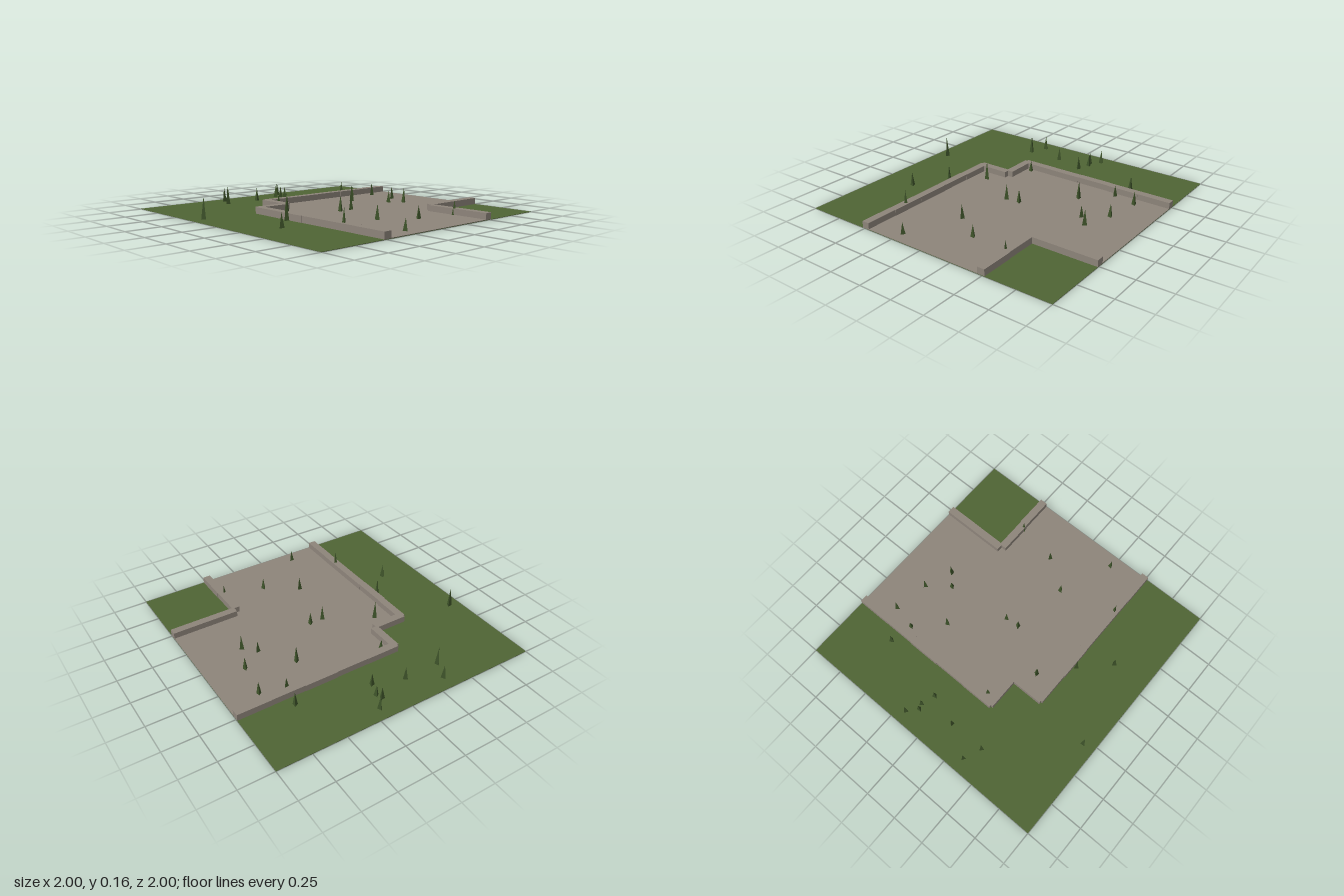
import * as THREE from 'three';

const material = (name, color) => {
  const m = new THREE.MeshStandardMaterial({ color, flatShading: true });
  m.name = name;
  return m;
};

export function createModel() {
  const model = new THREE.Group();
  model.name = 'walledClearing';
  const grass = material('grass green', 0x4f6434);
  const stone = material('stone grey', 0x8d847a);
  const foliage = material('pine green', 0x3d5229);

  const add = (parent, name, geometry, mat, x, y, z) => {
    const mesh = new THREE.Mesh(geometry, mat);
    mesh.name = name;
    mesh.position.set(x, y, z);
    parent.add(mesh);
    return mesh;
  };

  // Grass base
  add(model, 'ground', new THREE.BoxGeometry(2, 0.003, 2), grass, 0, 0.0015, 0);

  // Paved floor inside the walls (shape y becomes -z)
  const outline = [[-0.5, -1], [0.5, -1], [0.5, -0.5], [1, -0.5], [1, 0.5],
    [-0.25, 0.5], [-0.25, 0.25], [-0.5, 0.25]];
  const shape = new THREE.Shape(outline.map(([x, z]) => new THREE.Vector2(x, -z)));
  const floorGeometry = new THREE.ExtrudeGeometry(shape, { depth: 0.003, bevelEnabled: false });
  floorGeometry.rotateX(-Math.PI / 2);
  add(model, 'floor', floorGeometry, stone, 0, 0.003, 0);

  // Walls: straight runs of quarter-unit blocks, each a touch out of line
  const walls = new THREE.Group();
  walls.name = 'walls';
  model.add(walls);
  const runs = [
    // axis, fixed coordinate, start, end
    ['z', -0.4885, -1, 0.25],
    ['x', 0.236, -0.5, -0.25],
    ['z', -0.239, 0.25, 0.5],
    ['x', 0.4865, -0.25, 1],
    ['z', 0.483, -1, -0.5],
    ['x', -0.4885, 0.5, 1],
  ];
  const height = 0.049, step = 0.25;
  runs.forEach(([axis, fixed, start, end], r) => {
    const count = Math.round((end - start) / step);
    for (let i = 0; i < count; i++) {
      const along = start + (i + 0.5) * step;
      const across = fixed + 0.002 * Math.sin(i * 2.4 + r * 1.7);
      const alongX = axis === 'x';
      add(walls, 'wallBlock',
        new THREE.BoxGeometry(alongX ? step : 0.056, height, alongX ? 0.056 : step),
        stone, alongX ? along : across, 0.001 + height / 2, alongX ? across : along);
    }
  });

  // Slim three-sided pines: x, z, height, turn
  const trees = [
    [-0.91, -0.19, 0.105, 0.4], [-0.9, 0.34, 0.11, 0.5], [-0.84, -0.125, 0.095, 1.7],
    [-0.8, -0.14, 0.09, 0.2], [-0.77, 0.12, 0.1, 0.9], [-0.77, 0.395, 0.145, 0.3],
    [-0.7, -0.105, 0.1, 1.8], [-0.59, -0.625, 0.108, 0], [-0.42, -0.59, 0.087, 1.6],
    [-0.375, -0.77, 0.107, 0.15], [-0.435, 0.165, 0.087, 0.2], [-0.23, -0.4, 0.135, 0],
    [-0.29, 0.91, 0.16, 1.7], [-0.11, -0.73, 0.105, 0.3], [-0.11, 0.345, 0.145, 0.9],
    [0.01, -0.57, 0.092, 1.6], [0.095, -0.65, 0.12, 1.1], [0.08, -0.095, 0.105, 0.1],
    [0.085, 0.01, 0.12, 1.05], [0.115, 0.53, 0.147, 0.2], [0.31, 0.725, 0.105, 0.25],
    [0.51, 0.07, 0.112, 1.6], [0.625, 0.483, 0.147, 1.1], [0.67, -0.16, 0.095, 0.5],
    [0.73, -0.468, 0.108, 1.6], [0.91, 0.235, 0.09, 1.4],
  ];
  const grove = new THREE.Group();
  grove.name = 'trees';
  model.add(grove);
  for (const [x, z, h, turn] of trees) {
    const tree = add(grove, 'pineTree', new THREE.ConeGeometry(0.02, h, 3), foliage, x, 0.001 + h / 2, z);
    tree.rotation.y = turn;
  }
  return model;
}
